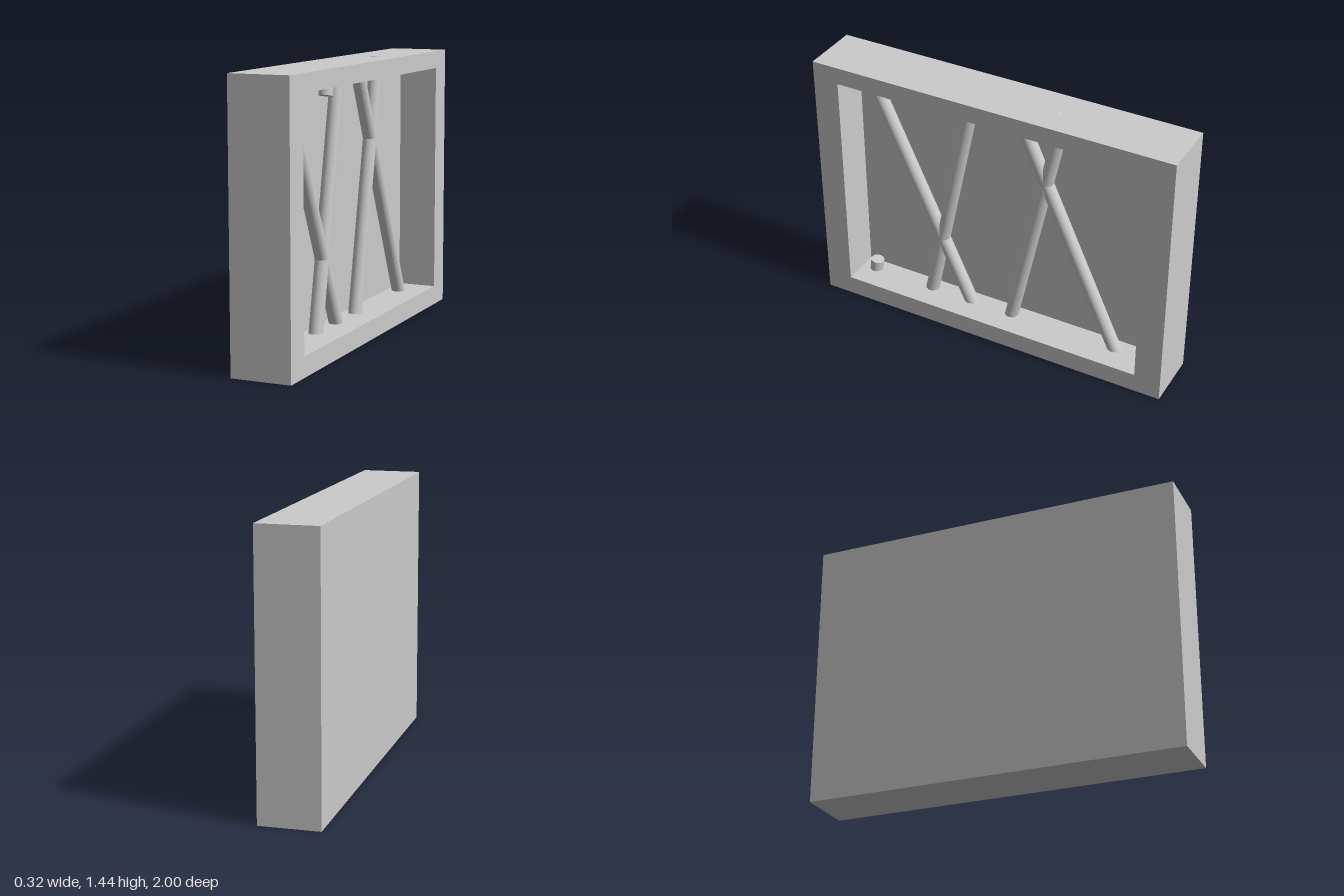
import * as THREE from 'three';

const HEIGHT = 1.433, HALF_X = 0.158, FLOOR_X = -0.053;
const INNER_Z = 0.857, INNER_Y0 = 0.104, INNER_Y1 = 1.34;
const ROD_X = 0.012, ROD_RADIUS = 0.036;

const material = new THREE.MeshStandardMaterial({ color: 0xcccccc });

function addMesh(group, name, geometry) {
  const mesh = new THREE.Mesh(geometry, material);
  mesh.name = name;
  group.add(mesh);
  return mesh;
}

// Trace a closed rectangle on a Shape or Path
function rect(path, x0, y0, x1, y1) {
  path.moveTo(x0, y0);
  path.lineTo(x1, y0);
  path.lineTo(x1, y1);
  path.lineTo(x0, y1);
  path.closePath();
  return path;
}

// Round rod between two (z, y) points in the plane x = ROD_X
function addRod(group, name, [z0, y0], [z1, y1]) {
  const a = new THREE.Vector3(ROD_X, y0, z0);
  const b = new THREE.Vector3(ROD_X, y1, z1);
  const dir = b.clone().sub(a);
  const rod = addMesh(group, name, new THREE.CylinderGeometry(ROD_RADIUS, ROD_RADIUS, dir.length(), 32));
  rod.position.copy(a).lerp(b, 0.5);
  rod.quaternion.setFromUnitVectors(new THREE.Vector3(0, 1, 0), dir.normalize());
}

export function createModel() {
  const model = new THREE.Group();
  model.name = 'framedPanel';

  // Rectangular frame around the recess, open towards +x
  const outline = rect(new THREE.Shape(), -1, 0, 1, HEIGHT);
  outline.holes.push(rect(new THREE.Path(), -INNER_Z, INNER_Y0, INNER_Z, INNER_Y1));
  const frame = new THREE.ExtrudeGeometry(outline, { depth: HALF_X - FLOOR_X, bevelEnabled: false });
  frame.rotateY(Math.PI / 2).translate(FLOOR_X, 0, 0);
  addMesh(model, 'frame', frame);

  // Solid back panel forming the recess floor
  const thickness = FLOOR_X + HALF_X;
  const panel = new THREE.BoxGeometry(thickness, HEIGHT, 2);
  panel.translate(-HALF_X + thickness / 2, HEIGHT / 2, 0);
  addMesh(model, 'backPanel', panel);

  // Crossing rods, with their ends buried in the frame
  const rods = new THREE.Group();
  rods.name = 'rods';
  model.add(rods);
  addRod(rods, 'diagonalRodFront', [0.152, 0.055], [0.76, 1.385]);
  addRod(rods, 'diagonalRodBack', [-0.699, 0.055], [-0.093, 1.385]);
  addRod(rods, 'steepRodFront', [0.427, 0.055], [0.149, 1.385]);
  addRod(rods, 'steepRodBack', [-0.062, 0.055], [-0.354, 1.428]);

  // Short stubs at the lower front corner and the upper edge
  addRod(rods, 'lowerStub', [0.785, 0.05], [0.77, 0.166]);
  addRod(rods, 'upperStub', [0.293, 1.277], [0.27, 1.385]);

  return model;
}
